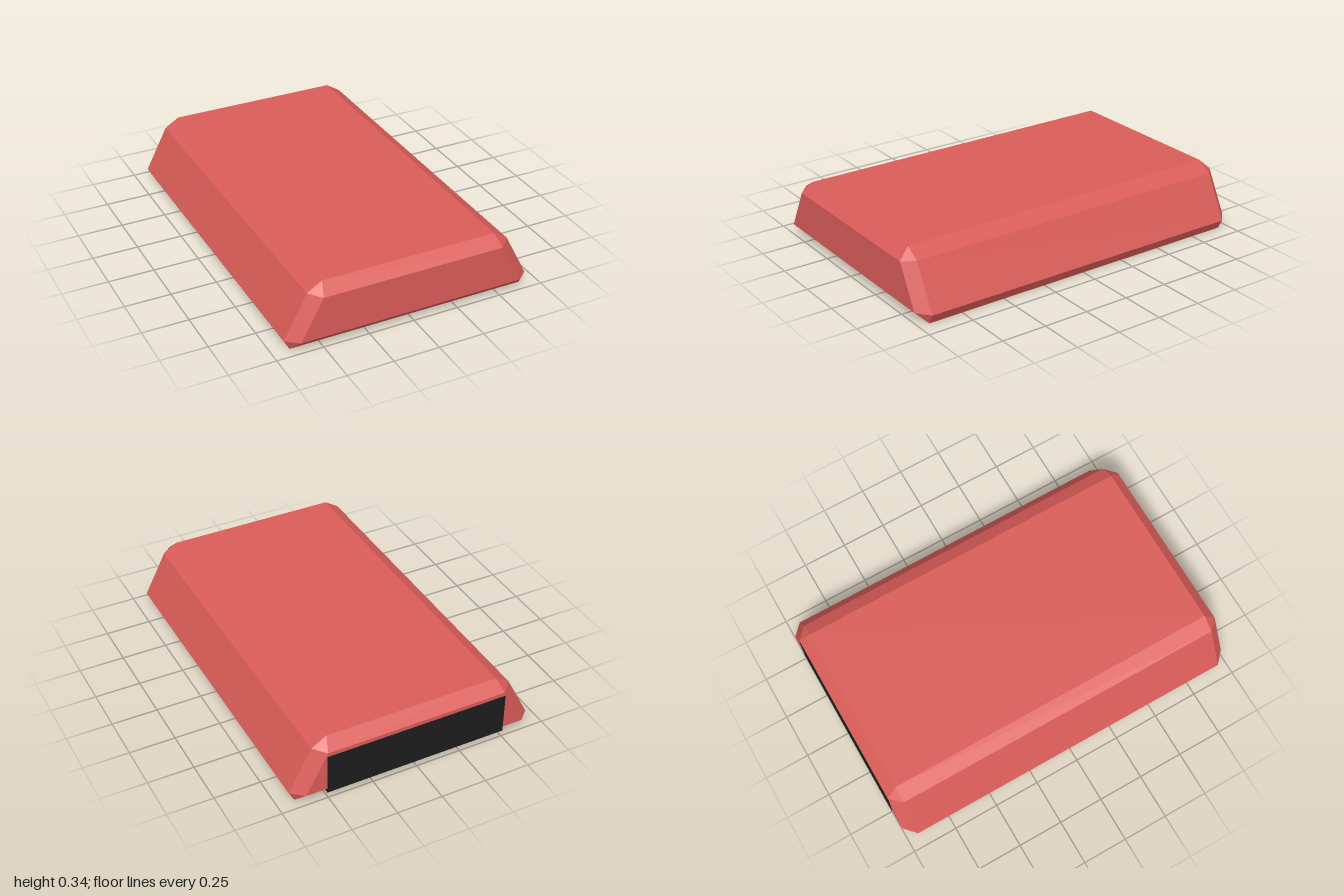
import * as THREE from 'three';
import { ConvexGeometry } from 'three/addons/geometries/ConvexGeometry.js';

export function createModel() {
  const group = new THREE.Group();
  const red = new THREE.MeshStandardMaterial({ color: 0xd95c58 });
  red.name = 'red';
  const black = new THREE.MeshStandardMaterial({ color: 0x1c1c1c });
  black.name = 'black';

  // Tapered slab with bevelled edges: [half width, height, half depth], mirrored in x and z
  const corners = [
    [0.655, 0, 0.94], [0.685, 0.055, 0.94], [0.56, 0.295, 0.94], [0.48, 0.345, 0.94],
    [0.62, 0.06, 1], [0.5, 0.287, 1],
  ];
  const points = [];
  for (const [x, y, z] of corners) {
    for (const sx of [-1, 1]) {
      for (const sz of [-1, 1]) points.push(new THREE.Vector3(sx * x, y, sz * z));
    }
  }
  const body = new THREE.Mesh(new ConvexGeometry(points), red);
  body.name = 'body';
  group.add(body);

  // Dark panel set into the back face, its lower edge standing clear of the bevel
  const panel = new THREE.Mesh(new THREE.BoxGeometry(1.01, 0.23, 0.02), black);
  panel.name = 'backPanel';
  panel.position.set(0, 0.15, -0.992);
  group.add(panel);

  return group;
}
